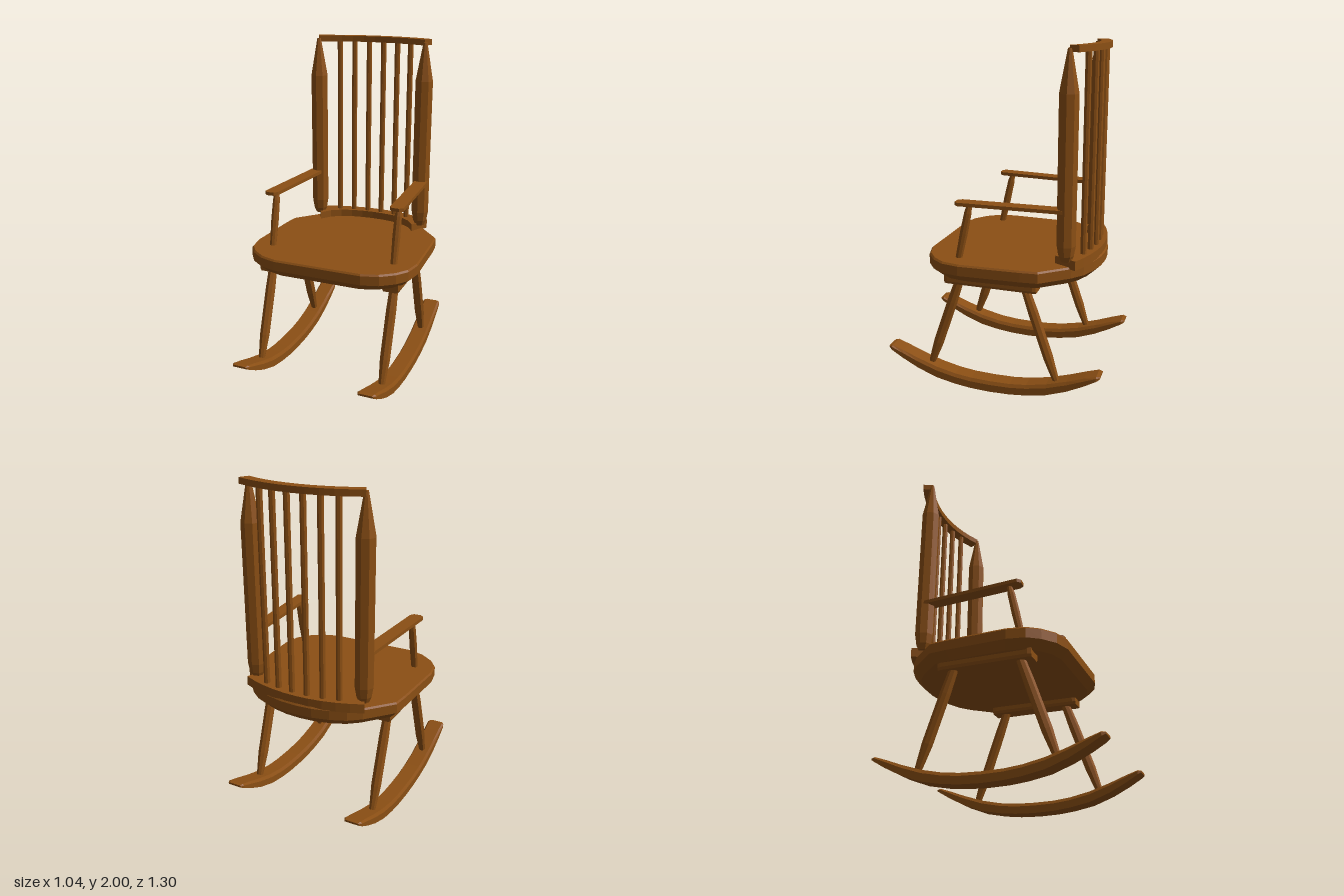
import * as THREE from 'three';

const wood = new THREE.MeshStandardMaterial({ color: 0x8b4f14, roughness: 0.8, flatShading: true });

// Solid skinned over a row of closed rings ([x, y, z] points) with capped ends.
function loft(rings) {
  const pos = [];
  const n = rings[0].length;
  const tri = (a, b, c) => pos.push(...a, ...b, ...c);
  const mid = (r) => [0, 1, 2].map((k) => r.reduce((s, p) => s + p[k], 0) / n);
  for (let i = 0; i < rings.length - 1; i++) {
    for (let j = 0; j < n; j++) {
      const k = (j + 1) % n;
      const [a, b, c, d] = [rings[i][j], rings[i][k], rings[i + 1][k], rings[i + 1][j]];
      tri(a, b, c);
      tri(a, c, d);
    }
  }
  const first = rings[0], last = rings[rings.length - 1];
  for (let j = 0; j < n; j++) {
    const k = (j + 1) % n;
    tri(first[k], first[j], mid(first));
    tri(last[j], last[k], mid(last));
  }
  // Turn the faces outward when the enclosed volume is negative.
  let volume = 0;
  const v = (i) => new THREE.Vector3().fromArray(pos, i);
  for (let i = 0; i < pos.length; i += 9) volume += v(i).dot(v(i + 3).cross(v(i + 6)));
  if (volume < 0) {
    for (let i = 0; i < pos.length; i += 9) {
      for (let k = 0; k < 3; k++) [pos[i + k], pos[i + 3 + k]] = [pos[i + 3 + k], pos[i + k]];
    }
  }
  const geo = new THREE.BufferGeometry();
  geo.setAttribute('position', new THREE.Float32BufferAttribute(pos, 3));
  geo.computeVertexNormals();
  return geo;
}

// Turned rod between two points; profile holds [radius, fraction of length].
function rod(from, to, profile, sides = 8) {
  const a = new THREE.Vector3(...from);
  const dir = new THREE.Vector3(...to).sub(a);
  const len = dir.length();
  const pts = [[0, 0], ...profile, [0, 1]].map(([r, t]) => new THREE.Vector2(r, t * len));
  const geo = new THREE.LatheGeometry(pts, sides);
  geo.applyQuaternion(new THREE.Quaternion().setFromUnitVectors(new THREE.Vector3(0, 1, 0), dir.normalize()));
  return geo.translate(a.x, a.y, a.z);
}

// Curved back rail, concentric with the spindles; flare thickens its ends forward.
const ARC_Z = 0.311;
function rail(y0, y1, rIn, rOut, angle, flare) {
  const rings = [];
  for (let i = 0; i <= 10; i++) {
    const t = i / 5 - 1;
    const s = Math.sin(t * angle), c = Math.cos(t * angle);
    const r = rIn - flare * t ** 4;
    rings.push([[r, y0], [rOut, y0], [rOut, y1], [r, y1]].map(([q, y]) => [q * s, y, ARC_Z - q * c]));
  }
  return loft(rings);
}

export function createModel() {
  const chair = new THREE.Group();
  chair.name = 'rockingChair';
  const add = (name, geo) => {
    const mesh = new THREE.Mesh(geo, wood);
    mesh.name = name;
    chair.add(mesh);
  };

  // Seat: half outline from back to front, mirrored, with a bevelled underside
  const half = [[0.1, -0.57], [0.2, -0.547], [0.29, -0.51], [0.36, -0.455], [0.495, -0.3], [0.505, -0.2],
    [0.52, 0.16], [0.5, 0.265], [0.45, 0.335], [0.37, 0.395], [0.27, 0.425]];
  const outline = [[0, -0.577], ...half, ...half.map(([x, z]) => [-x, z]).reverse()];
  add('seat', loft([[0.69, 0.91], [0.735, 1], [0.79, 1], [0.8, 0.985]].map(([y, s]) =>
    outline.map(([x, z]) => [x * s, y, (z + 0.075) * s - 0.075]))));

  // Back rails and spindles
  add('lowerBackRail', rail(0.79, 0.845, 0.806, 0.88, 0.45, 0.07));
  add('topRail', rail(1.965, 2, 0.806, 0.87, 0.445, 0));
  for (const x of [-0.235, -0.143, -0.048, 0.048, 0.143, 0.235]) {
    const z = ARC_Z - Math.sqrt(0.838 ** 2 - x * x);
    add('spindle', rod([x, 0.83, z], [x, 1.98, z], [[0.018, 0], [0.018, 1]]));
  }

  for (const s of [1, -1]) {
    const side = s > 0 ? 'left' : 'right';

    // Back post, tapering to a point under the top rail
    add(side + 'BackPost', rod([s * 0.35, 0.83, -0.42], [s * 0.35, 1.985, -0.42],
      [[0.03, 0], [0.045, 0.03], [0.055, 0.08], [0.055, 0.8], [0.012, 1]]));

    // Armrest with a rounded front, and its leaning support
    const plan = [[0.32, -0.41], [0.355, 0.185], [0.372, 0.208], [0.415, 0.21], [0.437, 0.19], [0.4, -0.41]];
    add(side + 'Armrest', loft([0, 0.02].map((h) =>
      plan.map(([x, z]) => [s * x, 1.114 + 0.01 * z + h, z]))));
    add(side + 'ArmSupport', rod([s * 0.39, 0.78, 0.205], [s * 0.39, 1.12, 0.13],
      [[0.02, 0], [0.024, 0.5], [0.022, 0.85], [0.015, 1]]));

    // Bearer under the seat with chamfered lower edges
    add(side + 'Bearer', loft([[-0.275, 0.44], [-0.255, 0.5], [0.255, 0.5], [0.275, 0.44]].map(([z, k]) =>
      [[-1, 0.7], [-1, 0.665], [-0.85, 0.65], [0.85, 0.65], [1, 0.665], [1, 0.7]].map(([x, y]) =>
        [s * 0.395 + x * 0.11 * k, y, z]))));

    // Splayed legs
    for (const f of [1, -1]) {
      add(side + (f > 0 ? 'FrontLeg' : 'BackLeg'), rod([s * 0.395, 0.09, f * 0.395], [s * 0.395, 0.67, f * 0.195],
        [[0.017, 0], [0.022, 0.08], [0.031, 0.28], [0.031, 0.75], [0.026, 1]]));
    }

    // Rocker: bevelled section swept along a shallow arc; [z, bottom, top, width]
    const arm = [[0.12, 0.004, 0.066, 0.112], [0.22, 0.015, 0.077, 0.112], [0.34, 0.038, 0.102, 0.112],
      [0.46, 0.082, 0.14, 0.112], [0.56, 0.132, 0.177, 0.112], [0.63, 0.173, 0.2, 0.112], [0.65, 0.185, 0.197, 0.09]];
    const stations = [...arm.map(([z, ...r]) => [-z, ...r]).reverse(), [0, 0, 0.063, 0.112], ...arm];
    add(side + 'Rocker', loft(stations.map(([z, b, t, w]) => {
      const m = t - (t - b) * 0.3;
      return [[-0.5, b], [0.5, b], [0.5, m], [0.4, t], [-0.4, t], [-0.5, m]].map(([x, y]) => [s * 0.395 + x * w, y, z]);
    })));
  }
  return chair;
}
